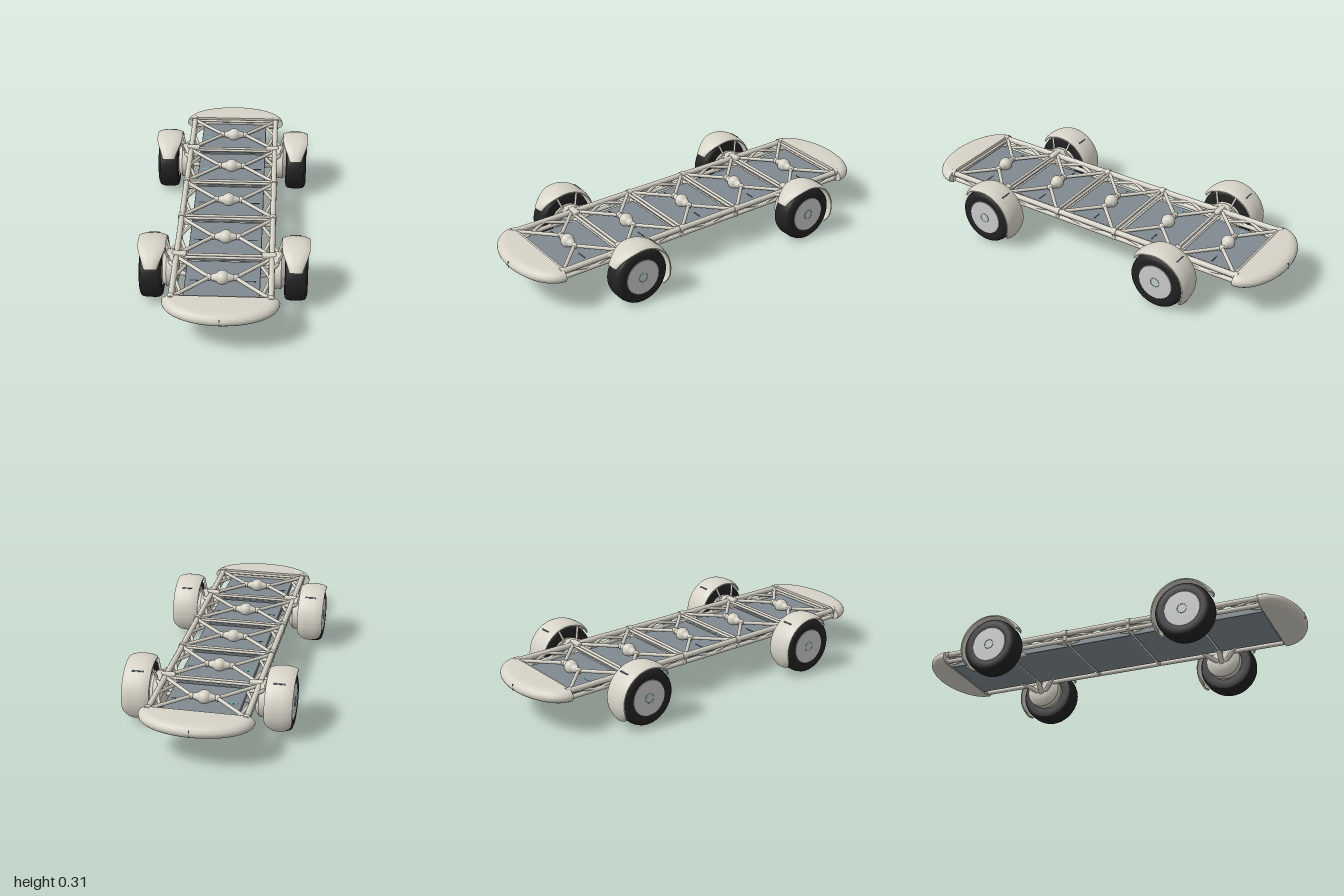
import * as THREE from 'three';
import { toCreasedNormals } from 'three/addons/utils/BufferGeometryUtils.js';
import { RoundedBoxGeometry } from 'three/addons/geometries/RoundedBoxGeometry.js';

const V = (x, y, z) => new THREE.Vector3(x, y, z);
const mat = (color) => new THREE.MeshStandardMaterial({ color });
const shell = mat(0xd6d2c6), grey = mat(0xcccccc), panel = mat(0x808a90);
const rubber = mat(0x222222), slotDark = mat(0x3c4650), accent = mat(0x66c8cc);

function add(parent, name, geometry, material, x = 0, y = 0, z = 0) {
  const m = new THREE.Mesh(geometry, material);
  m.name = name;
  m.position.set(x, y, z);
  parent.add(m);
  return m;
}

// Round bar between two points
function bar(parent, name, a, b, r, r2 = r) {
  const d = b.clone().sub(a);
  const m = add(parent, name, new THREE.CylinderGeometry(r2, r, d.length(), 12), shell);
  m.position.copy(a).addScaledVector(d, 0.5);
  m.quaternion.setFromUnitVectors(V(0, 1, 0), d.normalize());
  return m;
}

// Skin over closed loops of points, with both ends closed at their centres
function loft(loops, crease = 0.6) {
  const n = loops[0].length;
  const centre = (l) => {
    const c = l.reduce((s, p) => s.add(p), V(0, 0, 0)).divideScalar(n);
    return l.map(() => c);
  };
  const rows = [centre(loops[0]), ...loops, centre(loops[loops.length - 1])];
  const pos = [], idx = [];
  rows.forEach((row) => row.forEach((p) => pos.push(p.x, p.y, p.z)));
  for (let i = 0; i < rows.length - 1; i++) {
    for (let j = 0; j < n; j++) {
      const k = (j + 1) % n, a = i * n + j, b = i * n + k, c = a + n, d = b + n;
      if (i > 0) idx.push(a, b, c);
      if (i < rows.length - 2) idx.push(b, d, c);
    }
  }
  const g = new THREE.BufferGeometry();
  g.setAttribute('position', new THREE.Float32BufferAttribute(pos, 3));
  g.setIndex(idx);
  return toCreasedNormals(g, crease);
}

// Lathe with its axis along x; points are [x, radius]
function latheX(points) {
  const g = new THREE.LatheGeometry(points.map(([x, r]) => new THREE.Vector2(r, x)), 48);
  g.rotateZ(-Math.PI / 2);
  return toCreasedNormals(g, 0.5);
}

// Half-oval bumper with rounded rim and flat inner edge
function bumperGeometry() {
  const loops = [];
  for (let i = 0; i <= 12; i++) {
    const f = -Math.PI / 2 + (Math.PI * i) / 12;
    const inset = 0.045 * (1 - Math.cos(f)), loop = [];
    for (let j = 0; j <= 40; j++) {
      const t = Math.PI * (1 - j / 40);
      loop.push(V((0.268 - inset) * Math.cos(t), 0.194 + 0.032 * Math.sin(f),
        0.84 + (0.16 - inset) * Math.sin(t)));
    }
    loops.push(loop);
  }
  return loft(loops);
}

// Thin crowned mudguard: narrow tip in front, broad over the top and behind
function fenderGeometry() {
  const loops = [];
  for (let i = 0; i <= 40; i++) {
    const t = i / 40, a = THREE.MathUtils.degToRad(30 + 184 * t), loop = [];
    let half = 0.026 + 0.04 * THREE.MathUtils.smoothstep(t, -0.08, 0.27);
    if (t > 0.88) half -= 0.022 * ((t - 0.88) / 0.12) ** 2;
    for (const side of [1, -1]) {
      for (let j = 0; j <= 12; j++) {
        const u = side * (-1 + j / 6);
        const r = 0.165 - 0.012 * Math.abs(u) ** 3 - (side < 0 ? 0.006 : 0);
        loop.push(V(half * u, r * Math.sin(a), r * Math.cos(a)));
      }
    }
    loops.push(loop);
  }
  return loft(loops, 0.8);
}

const tyreGeo = latheX([[-0.05, 0.085], [-0.053, 0.115], [-0.05, 0.13], [-0.042, 0.138],
  [-0.025, 0.142], [0.025, 0.142], [0.042, 0.138], [0.05, 0.13], [0.055, 0.115], [0.052, 0.09], [0.045, 0.085]]);
const discGeo = latheX([[0.03, 0], [0.03, 0.09], [0.05, 0.092], [0.054, 0.088], [0.056, 0]]);
const motorGeo = latheX([[-0.13, 0], [-0.128, 0.045], [-0.122, 0.066], [-0.104, 0.088],
  [-0.07, 0.089], [-0.052, 0.072], [-0.04, 0.086], [-0.03, 0]]);
const fenderGeo = fenderGeometry();

// Wheel, hub motor, mudguard and suspension for one corner; s is the side
function corner(s, z) {
  const g = new THREE.Group();
  g.name = 'wheelAssembly';
  const w = new THREE.Group();
  w.name = 'wheel';
  w.position.set(s * 0.34, 0.142, z);
  if (s < 0) w.rotation.y = Math.PI;
  add(w, 'tyre', tyreGeo, rubber);
  add(w, 'wheelDisc', discGeo, grey);
  add(w, 'hubMotor', motorGeo, shell);
  add(w, 'hubRing', new THREE.TorusGeometry(0.023, 0.0015, 6, 40), accent, 0.056).rotation.y = Math.PI / 2;
  g.add(w);
  add(g, 'fender', fenderGeo, shell, s * 0.338, 0.142, z);
  add(g, 'fenderSlot', new THREE.BoxGeometry(0.055, 0.004, 0.007), slotDark,
    s * 0.335, 0.142 + 0.134, z - 0.097).rotation.x = -0.62;
  // Wishbones and stays
  for (const d of [-1, 1]) {
    bar(g, 'lowerArm', V(s * 0.225, 0.125, z + d * 0.015), V(s * 0.155, 0.178, z + d * 0.1), 0.011);
    bar(g, 'upperArm', V(s * 0.225, 0.215, z + d * 0.1), V(s * 0.265, 0.205, z + d * 0.03), 0.009);
    bar(g, 'fenderStay', V(s * 0.255, 0.205, z + d * 0.03), V(s * 0.277, 0.278, z + d * 0.055), 0.006);
  }
  bar(g, 'lowerStrut', V(s * 0.215, 0.12, z), V(s * 0.165, 0.175, z), 0.013);
  bar(g, 'pivotPin', V(s * 0.255, 0.21, z - 0.05), V(s * 0.255, 0.21, z + 0.05), 0.01);
  add(g, 'mountBlock', new RoundedBoxGeometry(0.068, 0.022, 0.03, 3, 0.007), shell, s * 0.212, 0.223, z);
  return g;
}

export function createModel() {
  const model = new THREE.Group();
  model.name = 'rollingChassis';

  // Bumpers with a small centre lamp
  const bumperGeo = bumperGeometry();
  for (const end of [1, -1]) {
    const b = new THREE.Group();
    b.name = end > 0 ? 'frontBumper' : 'rearBumper';
    add(b, 'bumperShell', bumperGeo, shell);
    add(b, 'lampSlot', new THREE.BoxGeometry(0.005, 0.03, 0.006), slotDark, 0, 0.194, 0.996);
    add(b, 'lamp', new THREE.BoxGeometry(0.003, 0.012, 0.007), accent, 0, 0.194, 0.9965);
    if (end < 0) b.rotation.y = Math.PI;
    model.add(b);
  }

  // Side rails
  const frame = new THREE.Group();
  frame.name = 'frame';
  model.add(frame);
  for (const s of [-1, 1]) {
    bar(frame, 'upperRail', V(s * 0.226, 0.212, -0.86), V(s * 0.226, 0.212, 0.86), 0.014);
    bar(frame, 'lowerRail', V(s * 0.222, 0.176, -0.86), V(s * 0.222, 0.176, 0.86), 0.011);
  }

  // Cross members, posts and rail collars between bays
  for (const z of [-0.84, -0.507, -0.169, 0.169, 0.507, 0.84]) {
    for (const d of [-0.011, 0.011]) {
      bar(frame, 'crossBar', V(-0.225, 0.212, z + d), V(0.225, 0.212, z + d), 0.007);
    }
    bar(frame, 'lowerCrossBar', V(-0.222, 0.176, z), V(0.222, 0.176, z), 0.009);
    for (const s of [-1, 1]) {
      bar(frame, 'post', V(s * 0.225, 0.17, z), V(s * 0.226, 0.215, z), 0.011);
      bar(frame, 'collar', V(s * 0.226, 0.212, z - 0.013), V(s * 0.226, 0.212, z + 0.013), 0.018);
    }
  }

  // Five bays, each a battery panel under a braced node
  for (let i = -2; i <= 2; i++) {
    const z = i * 0.3375, bay = new THREE.Group();
    bay.name = 'bay';
    bay.position.z = z;
    model.add(bay);
    add(bay, 'batteryPanel', new RoundedBoxGeometry(0.35, 0.028, 0.318, 2, 0.004), panel, 0, 0.177, 0);
    add(bay, 'node', new THREE.SphereGeometry(0.034, 24, 16), shell, 0, 0.212, 0);
    for (const s of [-1, 1]) {
      add(bay, 'panelSlot', new THREE.BoxGeometry(0.05, 0.003, 0.006),
        i < 0 && s < 0 ? accent : slotDark, s * 0.13, 0.191, 0);
      bar(bay, 'nodeArm', V(s * 0.02, 0.212, 0), V(s * 0.06, 0.212, 0), 0.024, 0.011);
      add(bay, 'armJoint', new THREE.SphereGeometry(0.016, 16, 12), shell, s * 0.062, 0.212, 0);
      for (const d of [-1, 1]) {
        bar(bay, 'diagonal', V(s * 0.06, 0.212, 0), V(s * 0.222, 0.212, d * 0.157), 0.009);
        bar(bay, 'sideBrace', V(s * 0.168, 0.182, d * 0.158), V(s * 0.222, 0.21, 0), 0.008);
        bar(bay, 'railBrace', V(s * 0.222, 0.176, 0), V(s * 0.226, 0.212, d * 0.15), 0.007);
      }
    }
  }

  // Four wheel corners
  for (const s of [-1, 1]) for (const z of [-0.507, 0.507]) model.add(corner(s, z));
  return model;
}
